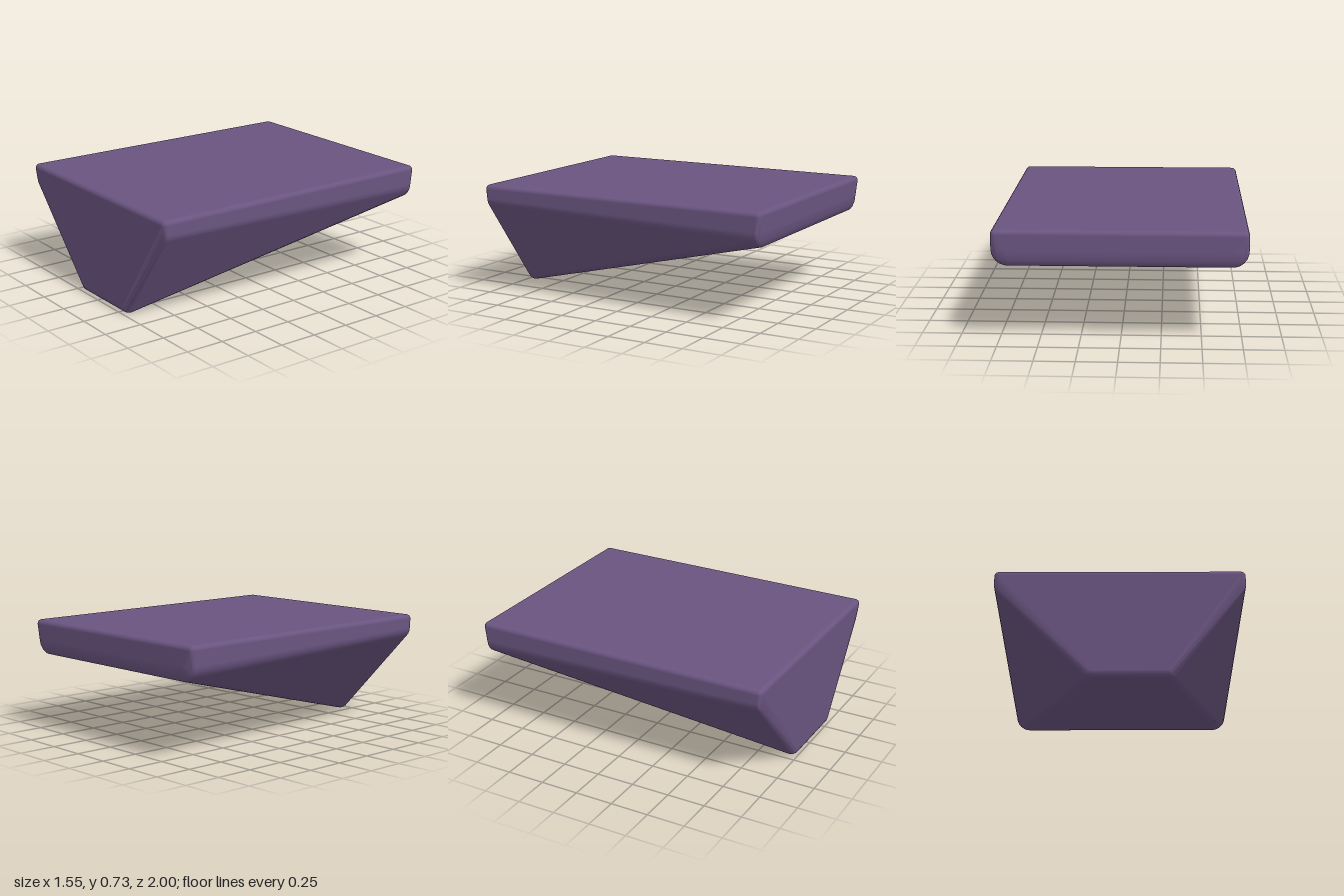
import * as THREE from 'three';
import { ConvexGeometry } from 'three/addons/geometries/ConvexGeometry.js';

// Rounded corners of the wedge: centre and ellipsoid radii
const corners = [];
const addCorner = (c, r) => corners.push({ c: new THREE.Vector3(...c), r: new THREE.Vector3(...r) });
for (const s of [-1, 1]) {
  for (const z of [-1, 1]) addCorner([s * 0.745, 0.7, z * 0.97], [0.03, 0.03, 0.03]); // top slab
  addCorner([s * 0.675, 0.64, 0.975], [0.1, 0.085, 0.025]); // front, under the rim
  addCorner([s * 0.675, 0.605, -0.965], [0.1, 0.1, 0.035]); // back, under the rim
}
// Narrow foot at the front, slightly off centre
addCorner([-0.17, 0.05, 0.95], [0.065, 0.05, 0.05]);
addCorner([0.29, 0.05, 0.95], [0.05, 0.05, 0.05]);

// Evenly spread directions, including all six axes
function directions(n) {
  const list = [new THREE.Vector3(0, 1, 0), new THREE.Vector3(0, -1, 0)];
  for (let i = 1; i < n / 2; i++) {
    for (let j = 0; j < n; j++) {
      list.push(new THREE.Vector3().setFromSphericalCoords(1, (i / n) * 2 * Math.PI, (j / n) * 2 * Math.PI));
    }
  }
  return list;
}

// Hull around the corner ellipsoids, with smooth normals taken from them
function roundedHull() {
  const points = [];
  for (const { c, r } of corners) {
    for (const n of directions(24)) {
      const len = n.clone().multiply(r).length();
      points.push(n.clone().multiply(r).multiply(r).divideScalar(len).add(c));
    }
  }
  const geometry = new ConvexGeometry(points);
  const pos = geometry.attributes.position;
  const p = new THREE.Vector3();
  for (let i = 0; i < pos.count; i++) {
    p.fromBufferAttribute(pos, i);
    let best = Infinity;
    const normal = new THREE.Vector3();
    for (const { c, r } of corners) {
      const d = p.clone().sub(c).divide(r);
      const error = Math.abs(d.length() - 1);
      if (error < best) {
        best = error;
        normal.copy(d.divide(r).normalize());
      }
    }
    geometry.attributes.normal.setXYZ(i, normal.x, normal.y, normal.z);
  }
  return geometry;
}

export function createModel() {
  const group = new THREE.Group();
  group.name = 'roundedWedge';
  const body = new THREE.Mesh(roundedHull(), new THREE.MeshStandardMaterial({ color: 0x6a5480 }));
  body.name = 'wedgeBody';
  group.add(body);
  return group;
}
